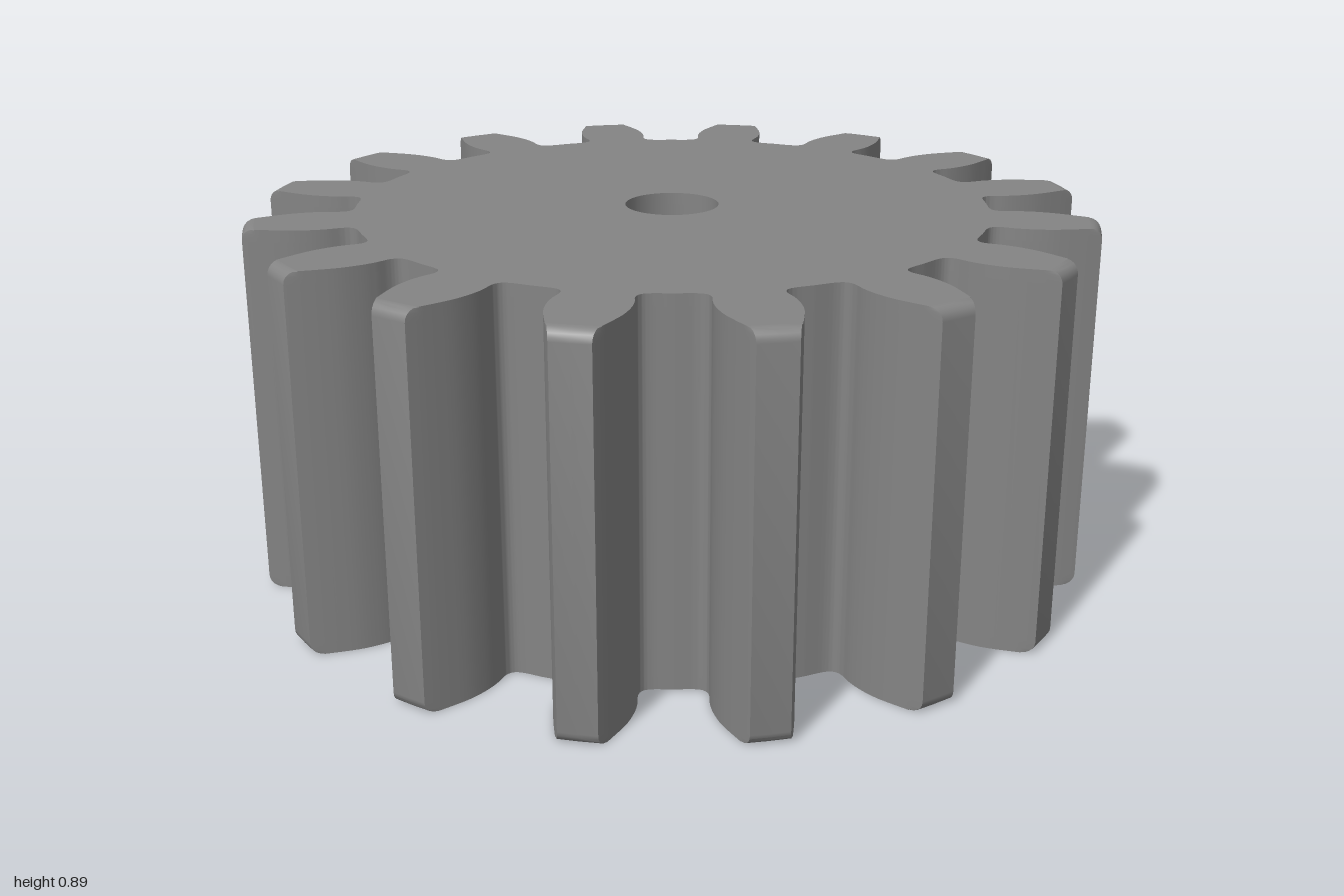
import * as THREE from 'three';
import { toCreasedNormals } from 'three/addons/utils/BufferGeometryUtils.js';

const TEETH = 16, HEIGHT = 0.886, BORE = 0.111, ROUND = 0.028;
const PITCH = (Math.PI * 2) / TEETH;

// Half a tooth gap: mid root, root fillet, flank (x across the tooth, y outward)
function halfTooth() {
  const pts = [
    [0.146, 0.734], [0.115, 0.739], [0.1, 0.7425], [0.086, 0.749], [0.078, 0.761],
    [0.077, 0.778], [0.083, 0.81], [0.084, 0.85], [0.077, 0.9], [0.055, 0.97],
  ].map(([x, y]) => new THREE.Vector2(x, y));
  return [...new THREE.SplineCurve(pts).getPoints(36), new THREE.Vector2(0.043, 0.999)];
}

function gearShape() {
  const half = halfTooth();
  const tooth = [
    ...half,
    new THREE.Vector2(0, 1),
    ...half.slice(1).reverse().map((p) => new THREE.Vector2(-p.x, p.y)),
  ];
  const origin = new THREE.Vector2();
  const outline = [];
  for (let i = 0; i < TEETH; i++) {
    for (const p of tooth) outline.push(p.clone().rotateAround(origin, i * PITCH));
  }
  const shape = new THREE.Shape(outline);
  shape.holes.push(new THREE.Path().absarc(0, 0, BORE, 0, Math.PI * 2, true));
  return shape;
}

// Layers from bottom to top: height and outer radius, with rounded tip edges
function layers() {
  const n = 5, bottom = [];
  for (let i = 0; i <= n; i++) {
    const a = (i / n) * Math.PI / 2;
    bottom.push([ROUND * (1 - Math.cos(a)), 1 - ROUND * (1 - Math.sin(a))]);
  }
  return [...bottom, ...bottom.map(([h, r]) => [HEIGHT - h, r]).reverse()];
}

function gearGeometry() {
  const rows = layers(), steps = rows.length - 1;
  const geo = new THREE.ExtrudeGeometry(gearShape(), {
    depth: steps, steps, bevelEnabled: false, curveSegments: 24,
  });
  const pos = geo.attributes.position;
  for (let i = 0; i < pos.count; i++) {
    let x = pos.getX(i), y = pos.getY(i);
    const [h, limit] = rows[Math.round(pos.getZ(i))];
    const r = Math.hypot(x, y);
    if (r > limit) {
      // Slide tip points back along the flank, which widens inward
      const a = Math.atan2(y, x);
      const local = a - Math.round(a / PITCH) * PITCH;
      const b = a + local * (r - limit) * 9;
      x = Math.cos(b) * limit;
      y = Math.sin(b) * limit;
    }
    pos.setXYZ(i, x, y, h);
  }
  geo.rotateX(-Math.PI / 2);
  const out = toCreasedNormals(geo, 0.6);

  // Keep the end faces perfectly flat
  const p = out.attributes.position, nrm = out.attributes.normal;
  for (let i = 0; i < p.count; i += 3) {
    const ys = [0, 1, 2].map((k) => p.getY(i + k));
    if (Math.max(...ys) - Math.min(...ys) < 1e-5) {
      for (let k = 0; k < 3; k++) nrm.setXYZ(i + k, 0, ys[0] > HEIGHT / 2 ? 1 : -1, 0);
    }
  }
  return out;
}

export function createModel() {
  const group = new THREE.Group();
  group.name = 'spurGear';
  const gear = new THREE.Mesh(gearGeometry(), new THREE.MeshStandardMaterial({ color: 0x848484 }));
  gear.name = 'toothedWheel';
  group.add(gear);
  return group;
}
